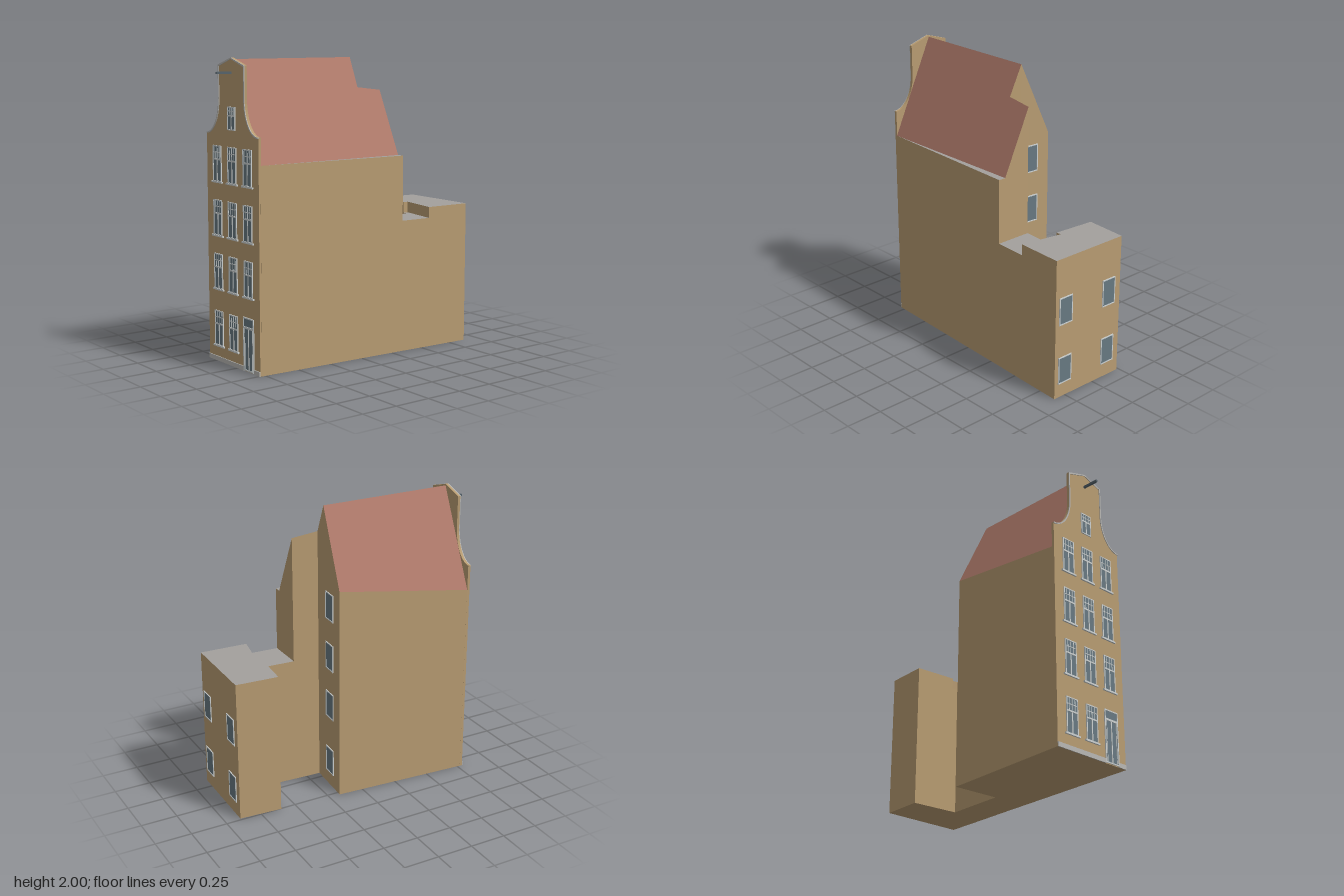
import * as THREE from 'three';

const mat = (name, color) => Object.assign(new THREE.MeshStandardMaterial({ color }), { name });

export function createModel() {
  const wall = mat('tan wall', 0xb89c72);
  const roof = mat('red roof tile', 0xb07b6b);
  const flat = mat('grey flat roof', 0xa3a09d);
  const stone = mat('pale stone', 0xb9b8b4);
  const frame = mat('light frame', 0xcdd2d2);
  const glass = mat('blue grey glass', 0x687982);
  const slate = mat('dark slate', 0x56646c);

  const model = new THREE.Group();
  model.name = 'gabledTownhouse';

  const add = (parent, name, geo, material) => {
    const m = new THREE.Mesh(geo, material);
    m.name = name;
    parent.add(m);
    return m;
  };
  const box = (parent, name, material, w, h, d, x, y, z) =>
    add(parent, name, new THREE.BoxGeometry(w, h, d), material).position.set(x, y, z);

  const geometryFrom = (pos) => {
    const g = new THREE.BufferGeometry();
    g.setAttribute('position', new THREE.Float32BufferAttribute(pos, 3));
    g.computeVertexNormals();
    return g;
  };
  // Horizontal or sloping face over an [x, z] polygon, with height given by a rule
  const cap = (pts, height, up = true) => {
    const v = pts.map(([x, z]) => new THREE.Vector2(x, z));
    const pos = [];
    for (const t of THREE.ShapeUtils.triangulateShape(v, [])) {
      const tri = t.map((i) => v[i]);
      if ((THREE.ShapeUtils.area(tri) > 0) === up) tri.reverse();
      for (const p of tri) pos.push(p.x, height(p.x), p.y);
    }
    return geometryFrom(pos);
  };
  // Vertical walls around an [x, z] polygon
  const walls = (pts, height) => {
    const p = THREE.ShapeUtils.area(pts.map(([x, z]) => new THREE.Vector2(x, z))) > 0 ? pts : [...pts].reverse();
    const pos = [];
    p.forEach(([ax, az], i) => {
      const [bx, bz] = p[(i + 1) % p.length];
      const ha = height(ax), hb = height(bx);
      pos.push(ax, 0, az, ax, ha, az, bx, hb, bz, ax, 0, az, bx, hb, bz, bx, 0, bz);
    });
    return geometryFrom(pos);
  };

  // Main house: skewed footprint under a straight gable roof
  const CX = -0.043, RIDGE = 1.99, EAVE = 1.34, FZ = 0.775;
  const roofY = (x) => Math.max(EAVE, RIDGE - (RIDGE - EAVE) * Math.abs(x - CX) / 0.303);
  const ridgeFront = [CX, FZ], ridgeBack = [CX, -0.158];
  const backLeft = [-0.28, -0.172], notchA = [0.05, -0.152], notchB = [0.06, -0.335];
  const frontLeft = [-0.345, FZ], frontRight = [0.26, FZ], eaveBack = [0.26, -0.335], sideBack = [0.312, -0.335];
  const mainPlan = [frontLeft, ridgeFront, frontRight, sideBack, eaveBack, notchB, notchA, ridgeBack, backLeft];
  add(model, 'mainWalls', walls(mainPlan, roofY), wall);
  add(model, 'mainFloor', cap(mainPlan, () => 0, false), wall);
  add(model, 'roofSlopeA', cap([frontLeft, ridgeFront, ridgeBack, backLeft], roofY), roof);
  add(model, 'roofSlopeB', cap([ridgeFront, frontRight, eaveBack, notchB, notchA, ridgeBack], roofY), roof);
  add(model, 'eaveGutter', cap([frontRight, sideBack, eaveBack], () => EAVE), flat);

  // Rear link and rear annex with flat roofs
  const annexA = [-0.235, -0.896], annexB = [0.34, -0.886];
  const step = [[0.325, -0.56], [0.035, -0.615], [0.035, -0.579]];
  const block = (name, pts, h) => {
    add(model, name + 'Walls', walls(pts, () => h), wall);
    add(model, name + 'Roof', cap(pts, () => h), flat);
    add(model, name + 'Floor', cap(pts, () => 0, false), wall);
  };
  block('annex', [annexA, annexB, ...step, [-0.255, -0.605]], 0.975);
  block('link', [notchB, sideBack, ...step, [0.075, -0.575]], 0.9);

  // Front facade with bell-shaped gable; inset shrinks the outline for the coping
  const gableLine = (inset) => {
    const half = [];
    for (let i = 0; i <= 14; i++) {
      const a = (i / 14) * Math.PI / 2;
      half.push([0.302 - (0.15 + inset) * Math.sin(a), 1.74 - (0.225 + inset) * Math.cos(a)]);
    }
    half.push([0.152 - inset, 1.953 - inset]);
    const right = half.map(([x, y]) => new THREE.Vector2(CX + x, y));
    const left = half.map(([x, y]) => new THREE.Vector2(CX - x, y)).reverse();
    return [...right, new THREE.Vector2(CX, 2 - inset), ...left];
  };
  const extrude = (pts, depth) =>
    new THREE.ExtrudeGeometry(new THREE.Shape(pts), { depth, bevelEnabled: false });
  const outer = gableLine(0);
  const base = [new THREE.Vector2(CX - 0.302, 0), new THREE.Vector2(CX + 0.302, 0)];
  add(model, 'frontFacade', extrude([...base, ...outer], 0.018), wall).position.z = 0.77;
  add(model, 'gableCoping', extrude([...outer, ...gableLine(0.009).reverse()], 0.005), stone).position.z = 0.788;

  // Plinth on both sides of the door
  box(model, 'plinth', stone, 0.42, 0.03, 0.006, -0.135, 0.015, 0.791);
  box(model, 'plinth', stone, 0.068, 0.03, 0.006, 0.225, 0.015, 0.791);

  // Rectangular frame border around a pane, standing on y = 0
  const border = (g, w, h, t, d) => {
    for (const s of [-1, 1]) box(g, 'frameSide', frame, t, h, d, s * (w - t) / 2, h / 2, d / 2);
    for (const y of [t / 2, h - t / 2]) box(g, 'frameRail', frame, w - 2 * t, t, d, 0, y, d / 2);
  };
  const opening = (name, x, y, z, angle = 0) => {
    const g = new THREE.Group();
    g.name = name;
    g.position.set(x, y, z);
    g.rotation.y = angle;
    model.add(g);
    return g;
  };

  // Front windows with glazing bars and sills
  const frontWindow = (x, y, w, h, sill) => {
    const g = opening('frontWindow', x, y, 0.788);
    const split = h * 0.62;
    box(g, 'pane', glass, w - 0.004, h - 0.004, 0.003, 0, h / 2, 0.0015);
    border(g, w, h, 0.007, 0.007);
    box(g, 'transom', frame, w - 0.014, 0.01, 0.007, 0, split, 0.0035);
    box(g, 'mullion', frame, 0.009, split - 0.012, 0.006, 0, split / 2 + 0.001, 0.003);
    for (const k of [-1, 0, 1])
      box(g, 'glazingBar', frame, 0.005, h - split - 0.012, 0.005, k * w / 4, (h + split) / 2 - 0.001, 0.0025);
    box(g, 'glazingRail', frame, w - 0.014, 0.005, 0.0055, 0, (h + split) / 2, 0.00275);
    if (sill) box(g, 'sill', frame, w + 0.026, 0.011, 0.011, 0, -0.002, 0.0055);
  };
  const columns = [-0.218, CX, 0.135];
  [0.105, 0.487, 0.843, 1.197].forEach((y, row) => {
    for (const x of columns) if (row > 0 || x < 0.1) frontWindow(x, y, 0.1, 0.236, true);
  });
  frontWindow(CX, 1.54, 0.09, 0.15, false);

  // Double door with fanlight
  const door = opening('frontDoor', 0.133, 0.005, 0.788);
  box(door, 'doorPanel', glass, 0.115, 0.345, 0.003, 0, 0.175, 0.0015);
  border(door, 0.12, 0.35, 0.008, 0.007);
  box(door, 'doorTransom', frame, 0.104, 0.014, 0.008, 0, 0.284, 0.004);
  for (const [x, w] of [[-0.043, 0.004], [0, 0.008], [0.043, 0.004]])
    box(door, 'doorStile', frame, w, 0.268, 0.006, x, 0.143, 0.003);

  // Plain windows on the skewed rear walls
  const rearWindow = (a, b, x, y) => {
    const dx = b[0] - a[0], dz = b[1] - a[1];
    const g = opening('rearWindow', x, y, a[1] + dz * (x - a[0]) / dx, Math.atan2(dz, -dx));
    box(g, 'pane', glass, 0.108, 0.186, 0.003, 0, 0.095, 0.0015);
    border(g, 0.114, 0.19, 0.007, 0.006);
  };
  for (const y of [0.097, 0.518, 0.875, 1.232]) rearWindow(backLeft, notchA, -0.13, y);
  for (const x of [-0.13, 0.254]) for (const y of [0.097, 0.518]) rearWindow(annexA, annexB, x, y);

  // Hoisting beam
  box(model, 'hoistBeam', slate, 0.013, 0.015, 0.12, CX, 1.905, 0.84);

  return model;
}
